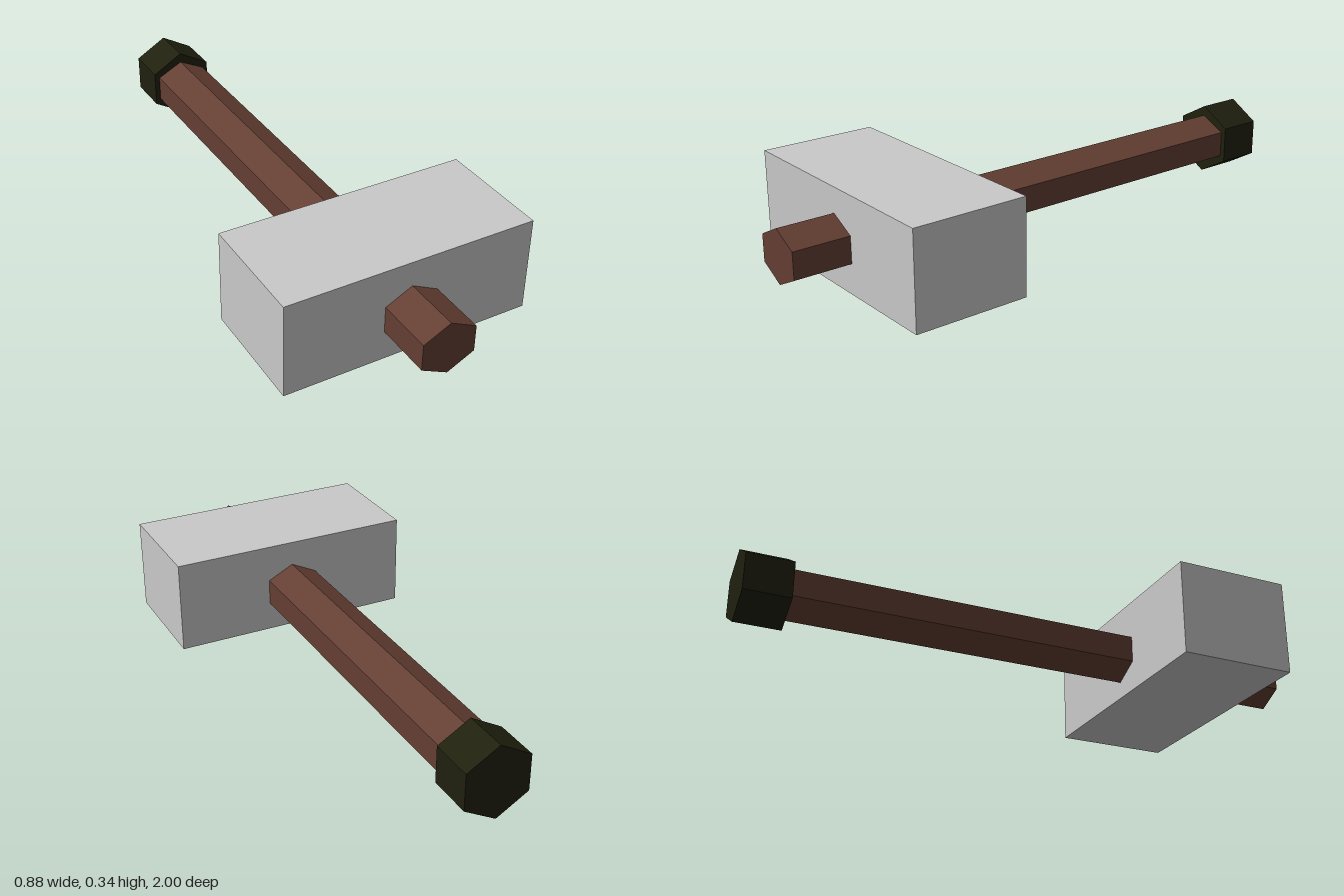
import * as THREE from 'three';

const AXIS_Y = 0.153; // height of the handle's centre line

// Faceted hexagonal bar along z, corners pointing up and down
function hexBar(name, radius, widthScale, z0, z1, material) {
  let geo = new THREE.CylinderGeometry(radius, radius, z1 - z0, 6);
  geo.rotateX(Math.PI / 2);
  geo.scale(widthScale, 1, 1);
  geo = geo.toNonIndexed();
  geo.computeVertexNormals();
  const mesh = new THREE.Mesh(geo, material);
  mesh.name = name;
  mesh.position.set(0, AXIS_Y, (z0 + z1) / 2);
  return mesh;
}

export function createModel() {
  const steel = new THREE.MeshStandardMaterial({ color: 0xc9c9c9 });
  steel.name = 'steel';
  const wood = new THREE.MeshStandardMaterial({ color: 0x653f33 });
  wood.name = 'wood';
  const darkGrip = new THREE.MeshStandardMaterial({ color: 0x20200f });
  darkGrip.name = 'dark grip';

  const model = new THREE.Group();
  model.name = 'hammer';

  // Block head, pierced by the handle
  const head = new THREE.Mesh(new THREE.BoxGeometry(0.884, 0.335, 0.41), steel);
  head.name = 'head';
  head.position.set(0, 0.1675, 0.595);

  // Handle runs through the head and into the end cap
  const handle = hexBar('handle', 0.0935, 1.155, -0.9, 1, wood);
  const endCap = hexBar('endCap', 0.13, 1, -1, -0.84, darkGrip);

  model.add(head, handle, endCap);
  return model;
}
